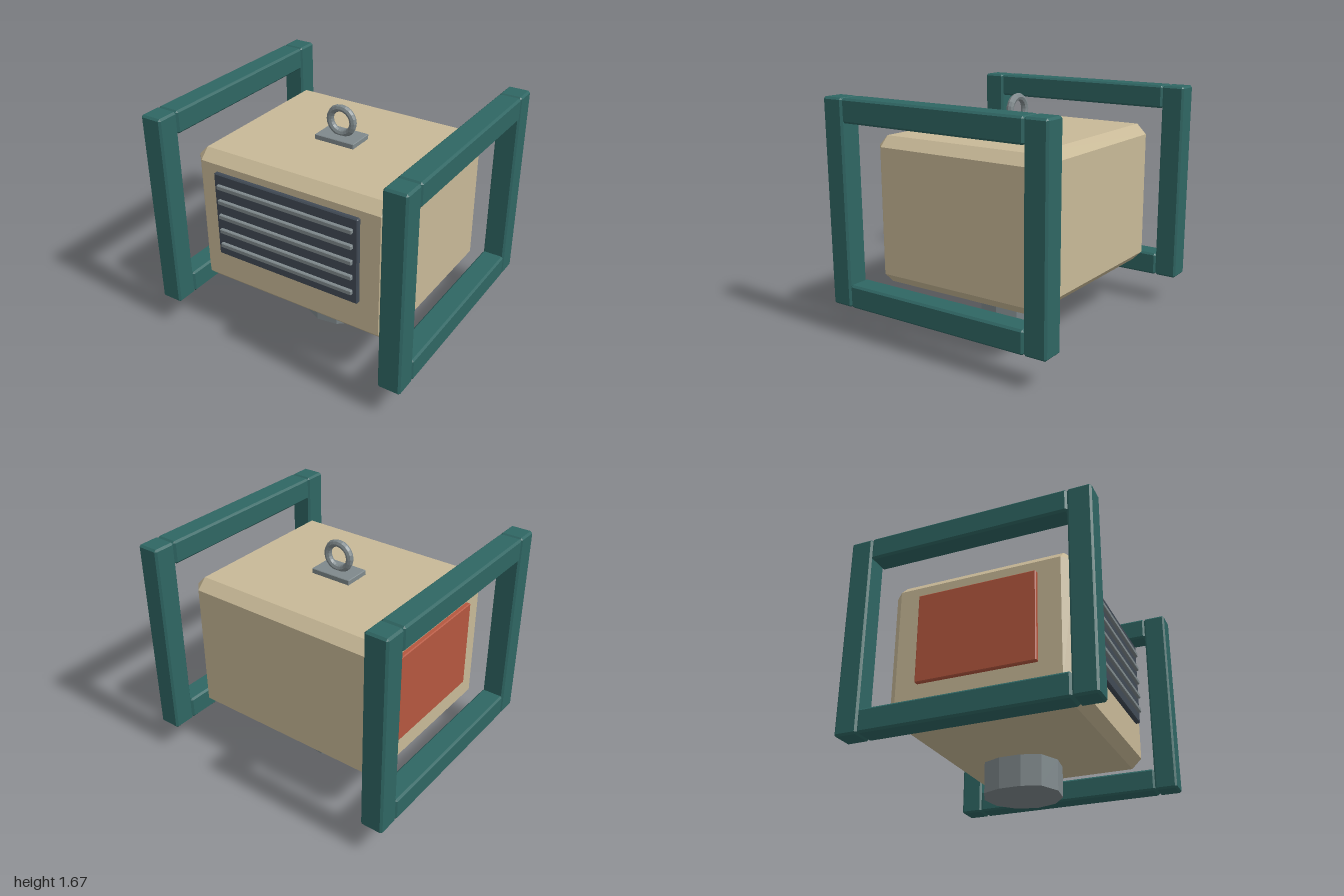
import * as THREE from 'three';
import { ConvexGeometry } from 'three/addons/geometries/ConvexGeometry.js';

const mat = (name, color) => {
  const m = new THREE.MeshStandardMaterial({ color, flatShading: true });
  m.name = name;
  return m;
};

// Box with every edge cut at 45 degrees, given as [min, max] on each axis
function chamferBox([x0, x1], [y0, y1], [z0, z1], c) {
  const hx = (x1 - x0) / 2, hy = (y1 - y0) / 2, hz = (z1 - z0) / 2;
  const points = [];
  for (const sx of [-1, 1]) for (const sy of [-1, 1]) for (const sz of [-1, 1]) {
    points.push(
      new THREE.Vector3(sx * hx, sy * (hy - c), sz * (hz - c)),
      new THREE.Vector3(sx * (hx - c), sy * hy, sz * (hz - c)),
      new THREE.Vector3(sx * (hx - c), sy * (hy - c), sz * hz));
  }
  return new ConvexGeometry(points).translate((x0 + x1) / 2, (y0 + y1) / 2, (z0 + z1) / 2);
}

export function createModel() {
  const sand = mat('sand', 0xc8b997);
  const teal = mat('teal', 0x2f6663);
  const slate = mat('slate', 0x414a55);
  const steel = mat('steel', 0x7f898c);
  const rust = mat('rust', 0xb5573f);

  const model = new THREE.Group();
  model.name = 'framedUnit';
  const add = (name, geometry, material, parent = model) => {
    const mesh = new THREE.Mesh(geometry, material);
    mesh.name = name;
    parent.add(mesh);
    return mesh;
  };

  // Main housing
  add('housing', chamferBox([-0.775, 0.775], [0.35, 1.395], [-0.66, 0.66], 0.072), sand);

  // Protective frame on each side
  for (const s of [-1, 1]) {
    const frame = new THREE.Group();
    frame.name = s > 0 ? 'leftFrame' : 'rightFrame';
    model.add(frame);
    const xs = s > 0 ? [0.831, 0.997] : [-0.997, -0.831];
    for (const z of [-0.8, 0.8])
      add(z > 0 ? 'frontPost' : 'backPost',
        chamferBox(xs, [0.213, 1.668], [z - 0.083, z + 0.083], 0.014), teal, frame);
    for (const y of [0.296, 1.585])
      add(y > 1 ? 'topRail' : 'bottomRail',
        chamferBox(xs, [y - 0.083, y + 0.083], [-0.717, 0.717], 0.014), teal, frame);
  }

  // Front grille with slats
  const grille = new THREE.Group();
  grille.name = 'grille';
  model.add(grille);
  add('grillePanel', chamferBox([-0.567, 0.567], [0.645, 1.282], [0.667, 0.704], 0.008), slate, grille);
  for (let i = 0; i < 5; i++) {
    const y = 0.733 + i * 0.1145;
    add('slat', chamferBox([-0.533, 0.533], [y - 0.017, y + 0.017], [0.695, 0.727], 0.005), steel, grille);
  }

  // Service panel on the right side
  add('servicePanel', chamferBox([-0.808, -0.77], [0.59, 1.243], [-0.43, 0.427], 0.006), rust);

  // Lifting eye on its plate
  add('eyePlate', chamferBox([-0.156, 0.156], [1.393, 1.432], [-0.1, 0.1], 0.004), steel);
  add('liftingEye', new THREE.TorusGeometry(0.092, 0.026, 8, 20).translate(0, 1.533, 0), steel);

  // Faceted foot, flattened towards the right
  const foot = new THREE.CylinderGeometry(0.275, 0.275, 0.22, 11, 1, false, Math.PI / 2);
  const pos = foot.attributes.position;
  for (let i = 0; i < pos.count; i++) pos.setX(i, Math.max(pos.getX(i), -0.23));
  foot.translate(0, 0.11, 0);
  add('foot', foot, steel);

  return model;
}
